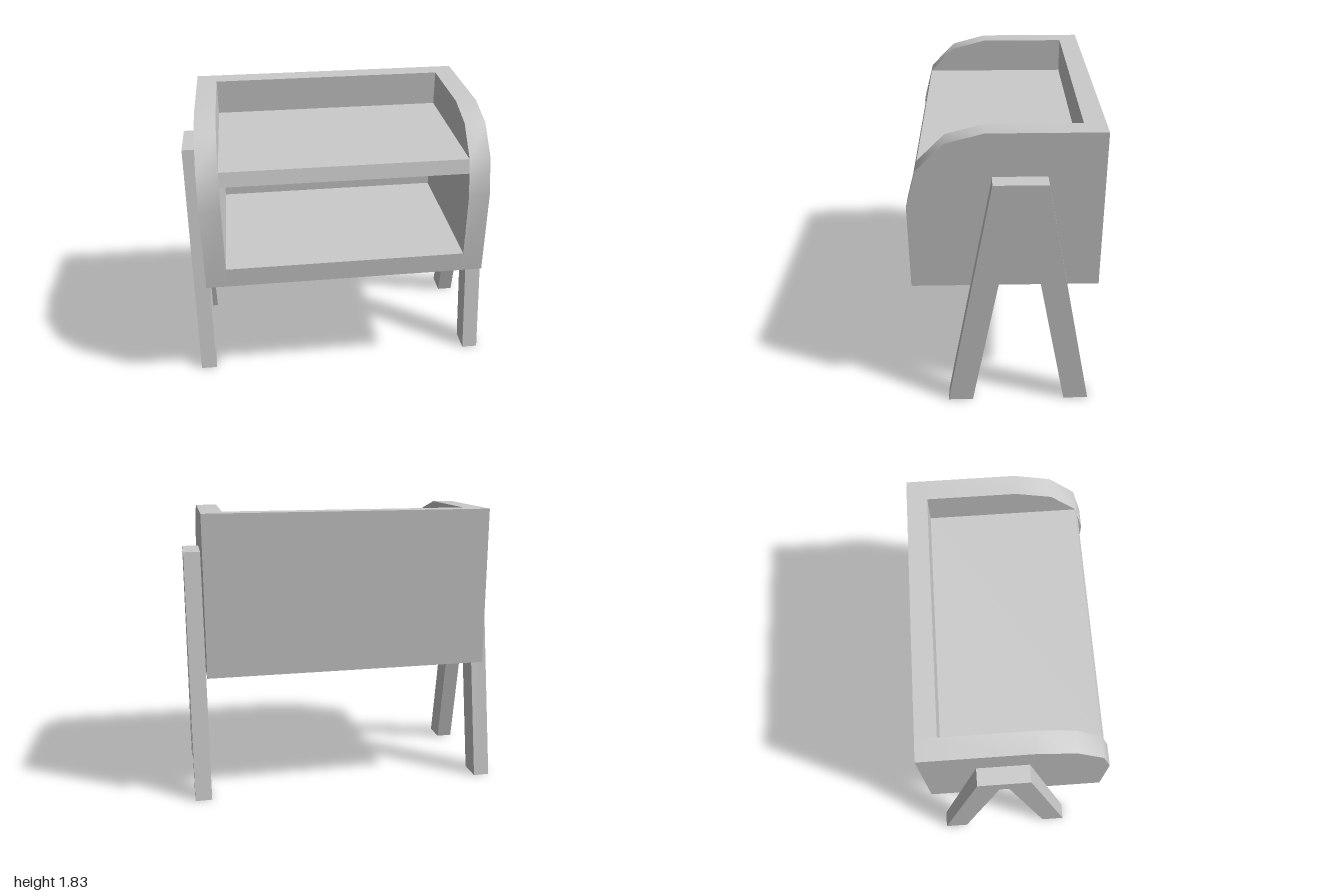
import * as THREE from 'three';
import { toCreasedNormals } from 'three/addons/utils/BufferGeometryUtils.js';

const material = new THREE.MeshStandardMaterial({ color: 0xcccccc });

// Extrude a [z, y] side profile across x, from x0 to x1
function slab(name, profile, x0, x1) {
  const shape = new THREE.Shape(profile.map(([z, y]) => new THREE.Vector2(z, y)));
  const geometry = new THREE.ExtrudeGeometry(shape, { depth: x1 - x0, bevelEnabled: false });
  geometry.rotateY(-Math.PI / 2).translate(x1, 0, 0);
  const mesh = new THREE.Mesh(toCreasedNormals(geometry, 0.6), material);
  mesh.name = name;
  return mesh;
}

export function createModel() {
  const model = new THREE.Group();
  model.name = 'bedsideTable';

  const back = -0.567, front = 0.567, bottom = 0.825, top = 1.825;
  const inner = 0.763, outer = 0.895, backInner = -0.44;

  // Side panel with a faceted, rounded upper front corner
  const sideProfile = [
    [back, bottom], [front, bottom], [front, 1.37], [0.505, 1.6],
    [0.34, 1.765], [0.115, top], [back, top],
  ];

  // A-shaped leg frame
  const legProfile = [
    [0.365, 0], [0.075, 1.56], [-0.24, 1.56], [-0.53, 0],
    [-0.375, 0], [-0.11, 1.415], [-0.055, 1.415], [0.21, 0],
  ];

  for (const [side, s] of [['left', 1], ['right', -1]]) {
    const span = (a, b) => (s > 0 ? [a, b] : [-b, -a]);
    model.add(slab(side + 'SidePanel', sideProfile, ...span(inner, outer)));
    model.add(slab(side + 'LegFrame', legProfile, ...span(outer, 1)));
  }

  // Boards between the side panels
  model.add(slab('bottomBoard',
    [[backInner, bottom], [front, bottom], [front, 0.953], [backInner, 0.953]], -inner, inner));
  model.add(slab('backPanel',
    [[back, bottom], [backInner, bottom], [backInner, top], [back, top]], -inner, inner));
  // The shelf's front edge follows the slope of the side panels
  model.add(slab('shelf',
    [[backInner, 1.51], [0.529, 1.51], [0.505, 1.598], [backInner, 1.598]], -inner, inner));

  return model;
}
